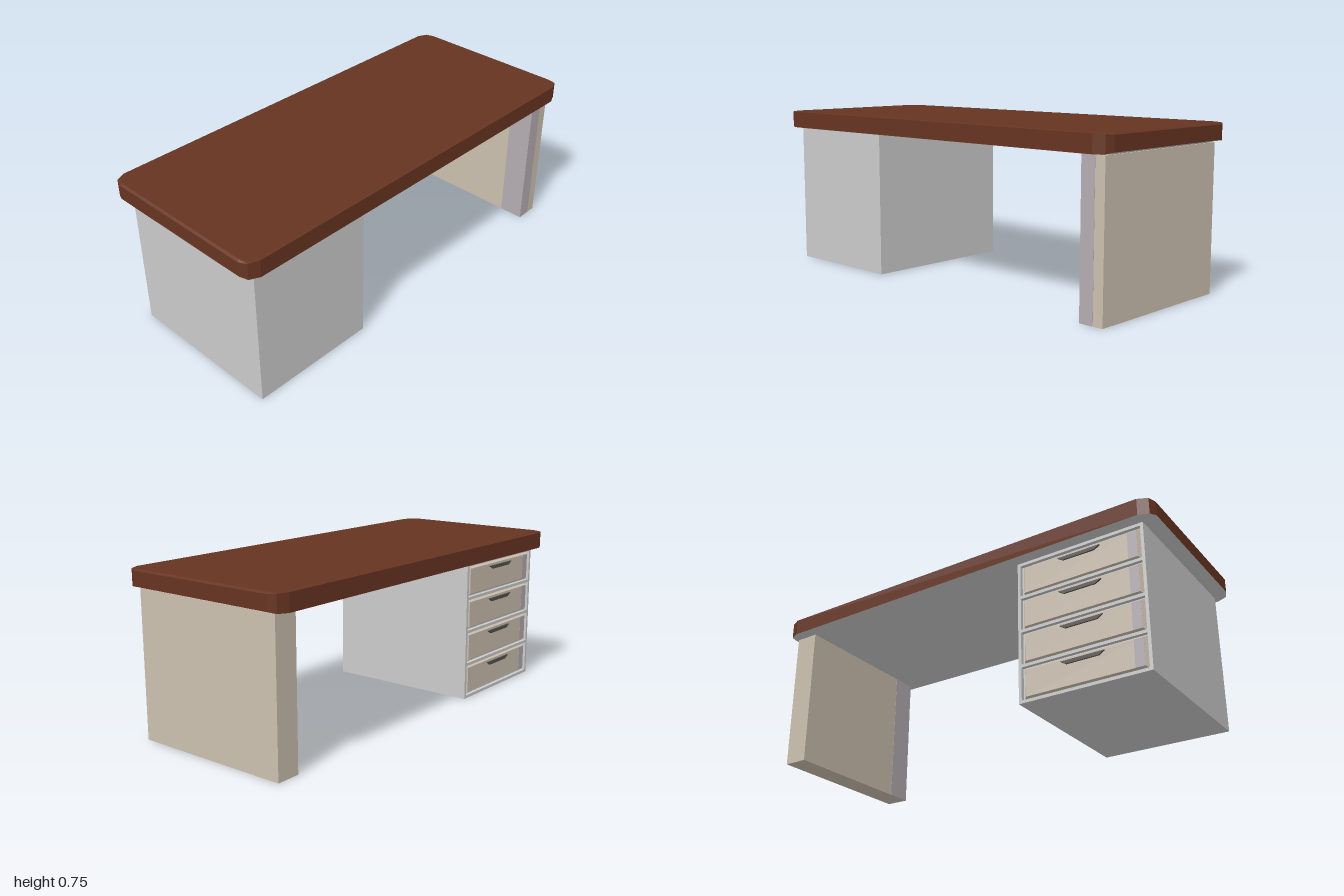
import * as THREE from 'three';

const mat = (name, color) => {
  const m = new THREE.MeshStandardMaterial({ color, flatShading: true });
  m.name = name;
  return m;
};

// Faceted skin through stacked rings of [x, y, z], lowest first, with optional end caps
function loft(rings, capBottom, capTop) {
  const pos = [];
  const tri = (...pts) => pts.forEach((p) => pos.push(...p));
  const n = rings[0].length;
  for (let i = 0; i < n; i++) {
    const j = (i + 1) % n;
    for (let r = 0; r + 1 < rings.length; r++) {
      const lo = rings[r], hi = rings[r + 1];
      tri(lo[i], hi[i], hi[j]);
      tri(lo[i], hi[j], lo[j]);
    }
    const b = rings[0], t = rings[rings.length - 1];
    if (capBottom) tri([0, b[0][1], 0], b[i], b[j]);
    if (capTop) tri([0, t[0][1], 0], t[j], t[i]);
  }
  const g = new THREE.BufferGeometry();
  g.setAttribute('position', new THREE.Float32BufferAttribute(pos, 3));
  g.computeVertexNormals();
  return g;
}

export function createModel() {
  const model = new THREE.Group();
  model.name = 'desk';
  const wood = mat('brown wood', 0x673421);
  const grey = mat('grey metal', 0xcbcbcb);
  const beige = mat('beige panel', 0xccc0b0);
  const mauve = mat('mauve tint', 0xb4acb1);
  const dark = mat('dark handle', 0x55504e);

  const add = (name, geometry, material, parent = model) => {
    const mesh = new THREE.Mesh(geometry, material);
    mesh.name = name;
    parent.add(mesh);
    return mesh;
  };
  // Box given by its limits on each axis
  const box = (name, material, [x0, x1], [y0, y1], [z0, z1], parent) => {
    const mesh = add(name, new THREE.BoxGeometry(x1 - x0, y1 - y0, z1 - z0), material, parent);
    mesh.position.set((x0 + x1) / 2, (y0 + y1) / 2, (z0 + z1) / 2);
    return mesh;
  };

  // Worktop outline: one rounded corner [x, z, lower edge y, upper edge y], mirrored to four
  const corner = [[1, 0.37, 0.672, 0.738], [0.985, 0.405, 0.667, 0.742], [0.94, 0.425, 0.666, 0.743]];
  const flip = [...corner].reverse();
  const mirror = (pts, sx, sz) => pts.map(([x, z, a, b]) => [x * sx, z * sz, a, b]);
  const outline = [
    ...corner, ...mirror(flip, -1, 1), ...mirror(corner, -1, -1), ...mirror(flip, 1, -1),
  ];
  const inset = (d, y) => outline.map(([x, z]) => [x * (1 - d), y, z * (1 - d / 0.425)]);
  const lower = outline.map(([x, z, a]) => [x, a, z]);
  const upper = outline.map(([x, z, , b]) => [x, b, z]);
  add('worktop', loft([lower, upper, inset(0.01, 0.745)], false, true), wood);
  add('worktopUnderside', loft([inset(0.04, 0.66), lower], true, false), grey);

  // Leg panel with a tinted strip wrapping its inner front corner
  const leg = new THREE.Group();
  leg.name = 'legPanel';
  model.add(leg);
  box('panel', beige, [0.855, 0.967], [0, 0.66], [-0.378, 0.379], leg);
  box('frontStrip', mauve, [0.855, 0.92], [0, 0.66], [0.378, 0.38], leg);
  box('innerStrip', mauve, [0.854, 0.856], [0, 0.66], [0.26, 0.38], leg);

  // Drawer cabinet: body, with a raised frame around the drawers on its back face
  const cabinet = new THREE.Group();
  cabinet.name = 'drawerCabinet';
  model.add(cabinet);
  const left = -0.34, right = -0.94, cx = -0.64, back = -0.377, rim = 0.014;
  box('body', grey, [right, left], [0, 0.66], [-0.36, 0.38], cabinet);
  const depth = [back, -0.36];
  box('frameSide', grey, [left - rim, left], [0, 0.66], depth, cabinet);
  box('frameSide', grey, [right, right + rim], [0, 0.66], depth, cabinet);
  const pitch = (0.66 - rim) / 4;
  for (let i = 0; i <= 4; i++) {
    box('frameRail', grey, [right + rim, left - rim], [i * pitch, i * pitch + rim], depth, cabinet);
  }

  // Four drawers, each with a bevelled front, tinted end strip and flared handle
  for (let i = 0; i < 4; i++) {
    const drawer = new THREE.Group();
    drawer.name = 'drawer';
    drawer.position.set(cx, i * pitch + rim / 2 + pitch / 2, 0);
    cabinet.add(drawer);

    const w = 0.56, h = pitch - rim - 0.006;
    const front = box('drawerFront', beige, [-w / 2, w / 2], [-h / 2, h / 2], [-0.374, -0.358], drawer);
    const p = front.geometry.attributes.position;
    for (let k = 0; k < p.count; k++) {
      if (p.getZ(k) < 0) {
        p.setX(k, p.getX(k) - Math.sign(p.getX(k)) * 0.012);
        p.setY(k, p.getY(k) - Math.sign(p.getY(k)) * 0.01);
      }
    }
    front.geometry.computeVertexNormals();
    box('endStrip', mauve, [-0.268, -0.225], [-h / 2 + 0.01, h / 2 - 0.01], [-0.3745, -0.373], drawer);

    // Handle: long upper edge tapering to a shorter lower edge
    const shape = new THREE.Shape([
      new THREE.Vector2(-0.075, -0.008), new THREE.Vector2(0.075, -0.008),
      new THREE.Vector2(0.1, 0.008), new THREE.Vector2(-0.1, 0.008),
    ]);
    const handle = add('handle', new THREE.ExtrudeGeometry(shape, { depth: 0.008, bevelEnabled: false }), dark, drawer);
    handle.position.set(0, 0.042, -0.381);
  }

  return model;
}
